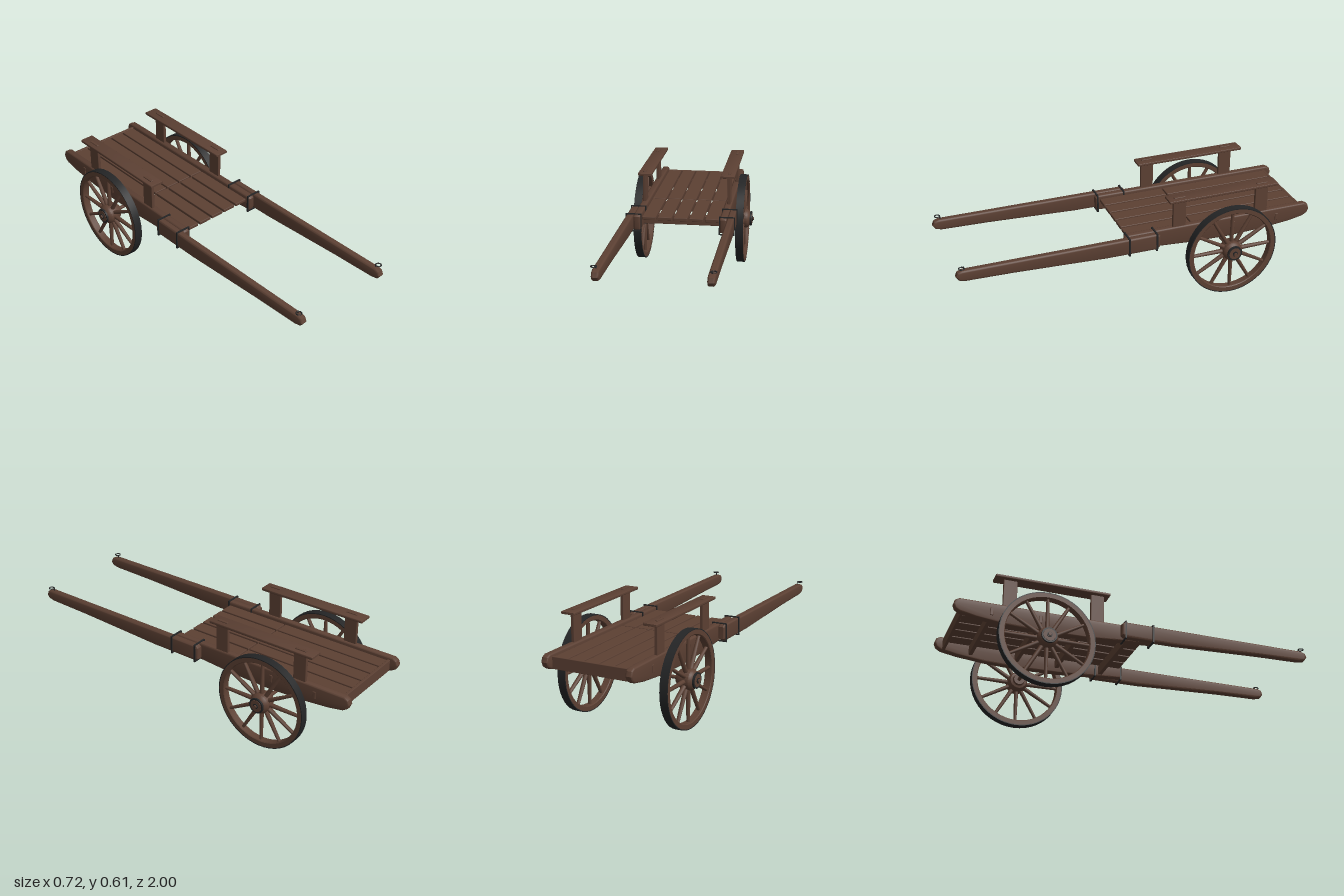
import * as THREE from 'three';
import { toCreasedNormals } from 'three/addons/utils/BufferGeometryUtils.js';
import { RoundedBoxGeometry } from 'three/addons/geometries/RoundedBoxGeometry.js';

const wood = new THREE.MeshStandardMaterial({ color: 0x5c4033 });
wood.name = 'brown wood';
const iron = new THREE.MeshStandardMaterial({ color: 0x242526 });
iron.name = 'dark iron';

function add(parent, name, geometry, material, x = 0, y = 0, z = 0) {
  const mesh = new THREE.Mesh(geometry, material);
  mesh.name = name;
  mesh.position.set(x, y, z);
  parent.add(mesh);
  return mesh;
}

const box = (w, h, d, r = 0.003) => new RoundedBoxGeometry(w, h, d, 1, r);

// Solid beam from a (z, y) side outline, rounded by a bevel, centred on x
function beam(points, width, bevel) {
  const shape = new THREE.Shape(points.map(([z, y]) => new THREE.Vector2(z, y)));
  const g = new THREE.ExtrudeGeometry(shape, {
    depth: width - 2 * bevel, bevelThickness: bevel, bevelSize: bevel,
    bevelOffset: -bevel, bevelSegments: 3, steps: 1,
  });
  g.translate(0, 0, -(width / 2 - bevel));
  g.rotateY(-Math.PI / 2);
  return toCreasedNormals(g, 0.6);
}

// Surface of revolution around the x axis, profile given as [x, radius];
// outward faces run towards +x, inward faces towards -x
function turned(profile, segments) {
  const g = new THREE.LatheGeometry(profile.map(([x, r]) => new THREE.Vector2(r, x)), segments);
  g.rotateZ(-Math.PI / 2);
  return toCreasedNormals(g, 0.6);
}

// Rectangular iron band in the xy plane
function band(w, h, t, depth) {
  const shape = new THREE.Shape([[-1, -1], [1, -1], [1, 1], [-1, 1]]
    .map(([x, y]) => new THREE.Vector2(x * w / 2, y * h / 2)));
  shape.holes.push(new THREE.Path([[-1, -1], [-1, 1], [1, 1], [1, -1]]
    .map(([x, y]) => new THREE.Vector2(x * (w / 2 - t), y * (h / 2 - t)))));
  return new THREE.ExtrudeGeometry(shape, { depth, bevelEnabled: false }).translate(0, 0, -depth / 2);
}

// Wheel centred on its own axle; outer side faces +x
function makeWheel() {
  const wheel = new THREE.Group();
  wheel.name = 'wheel';
  add(wheel, 'rim', turned([[0.0215, 0.255], [0.0215, 0.231], [0.018, 0.227], [-0.018, 0.227], [-0.0215, 0.231], [-0.0215, 0.255]], 48), wood);
  add(wheel, 'tyre', turned([[-0.022, 0.254], [-0.022, 0.259], [0.022, 0.259], [0.022, 0.254]], 48), iron);
  add(wheel, 'hub', turned([
    [-0.058, 0], [-0.058, 0.029], [-0.046, 0.033], [-0.043, 0.045], [-0.025, 0.055],
    [0.025, 0.055], [0.034, 0.049], [0.042, 0.041], [0.046, 0.034], [0.055, 0.033], [0.055, 0],
  ], 24), wood);
  add(wheel, 'hubBand', turned([[0.043, 0.03], [0.043, 0.042], [0.053, 0.042], [0.053, 0.03]], 24), iron);
  add(wheel, 'axleNut', turned([[0.053, 0.015], [0.059, 0.015], [0.059, 0]], 8), iron);
  add(wheel, 'axleEnd', turned([[0.05, 0.009], [0.0655, 0.009], [0.0655, 0]], 12), wood);
  for (let i = 0; i < 12; i++) {
    const g = new THREE.CylinderGeometry(0.009, 0.0125, 0.19, 8);
    g.scale(1.1, 1, 0.95).translate(0, 0.137, 0);
    add(wheel, 'spoke', g, wood).rotation.x = i * Math.PI / 6;
  }
  return wheel;
}

// Everything on one side: s = 1 for left (+x), -1 for right
function makeSide(s) {
  const side = new THREE.Group();
  side.name = s > 0 ? 'leftSide' : 'rightSide';

  const rail = [[0.085, 0.37], [0.08, 0.352], [-0.1, 0.34], [-0.3, 0.326], [-0.52, 0.32], [-0.72, 0.328], [-0.88, 0.344],
    [-0.965, 0.36], [-0.99, 0.376], [-1, 0.4], [-0.992, 0.425], [-0.97, 0.437], [0.07, 0.437], [0.085, 0.425]];
  add(side, 'sideRail', beam(rail, 0.038, 0.008), wood, s * 0.236);

  const shaft = [[-0.1, 0.36], [-0.08, 0.346], [0.2, 0.348], [0.4, 0.357], [0.7, 0.37], [0.95, 0.376], [0.985, 0.384],
    [1, 0.405], [0.99, 0.428], [0.965, 0.437], [-0.085, 0.437], [-0.1, 0.425]];
  add(side, 'shaft', beam(shaft, 0.038, 0.01), wood, s * 0.275);

  // Iron straps hugging shaft and rail
  for (const z of [0.075, -0.08]) add(side, 'strap', band(0.086, 0.102, 0.005, 0.009), iron, s * 0.255, 0.391, z);

  // Eye ring on the shaft tip
  add(side, 'ringStem', new THREE.CylinderGeometry(0.003, 0.003, 0.022, 8), iron, s * 0.276, 0.442, 0.955);
  add(side, 'ring', new THREE.TorusGeometry(0.014, 0.003, 8, 20).rotateX(Math.PI / 2), iron, s * 0.284, 0.45, 0.968);

  // Guard board on two posts, with tenons showing on top
  const board = [[-0.16, 0.592], [-0.165, 0.59], [-0.785, 0.59], [-0.79, 0.592], [-0.79, 0.603], [-0.785, 0.605], [-0.165, 0.605], [-0.16, 0.603]];
  add(side, 'guardBoard', beam(board, 0.077, 0.003), wood, s * 0.233);
  for (const z of [-0.225, -0.705]) {
    add(side, 'post', box(0.018, 0.18, 0.074), wood, s * 0.239, 0.505, z);
    add(side, 'postTenon', box(0.016, 0.02, 0.064), wood, s * 0.239, 0.6, z);
  }
  // Cross beam tenons through the rail
  for (const z of [-0.54, -0.8]) add(side, 'beamTenon', box(0.01, 0.042, 0.018), wood, s * 0.254, 0.387, z);

  const wheel = makeWheel();
  wheel.position.set(s * 0.2945 - 0.0015, 0.259, -0.515);
  if (s < 0) wheel.rotation.y = Math.PI;
  side.add(wheel);
  return side;
}

export function createModel() {
  const cart = new THREE.Group();
  cart.name = 'handcart';

  // Deck planks in a front and a rear run
  for (let i = -2; i <= 2; i++) {
    add(cart, 'frontPlank', box(0.075, 0.018, 0.369), wood, i * 0.0865, 0.413, -0.1205);
    add(cart, 'rearPlank', box(0.077, 0.018, 0.634), wood, i * 0.0865, 0.413, -0.629);
  }
  // Cross beams under the deck
  for (const z of [-0.05, -0.308, -0.54, -0.8]) add(cart, 'crossBeam', box(0.45, 0.052, 0.022), wood, 0, 0.379, z);
  add(cart, 'rearBeam', box(0.46, 0.064, 0.016), wood, 0, 0.391, -0.949);

  add(cart, 'axle', new THREE.CylinderGeometry(0.0095, 0.0095, 0.52, 16).rotateZ(Math.PI / 2), wood, 0, 0.259, -0.515);
  cart.add(makeSide(1), makeSide(-1));
  return cart;
}
